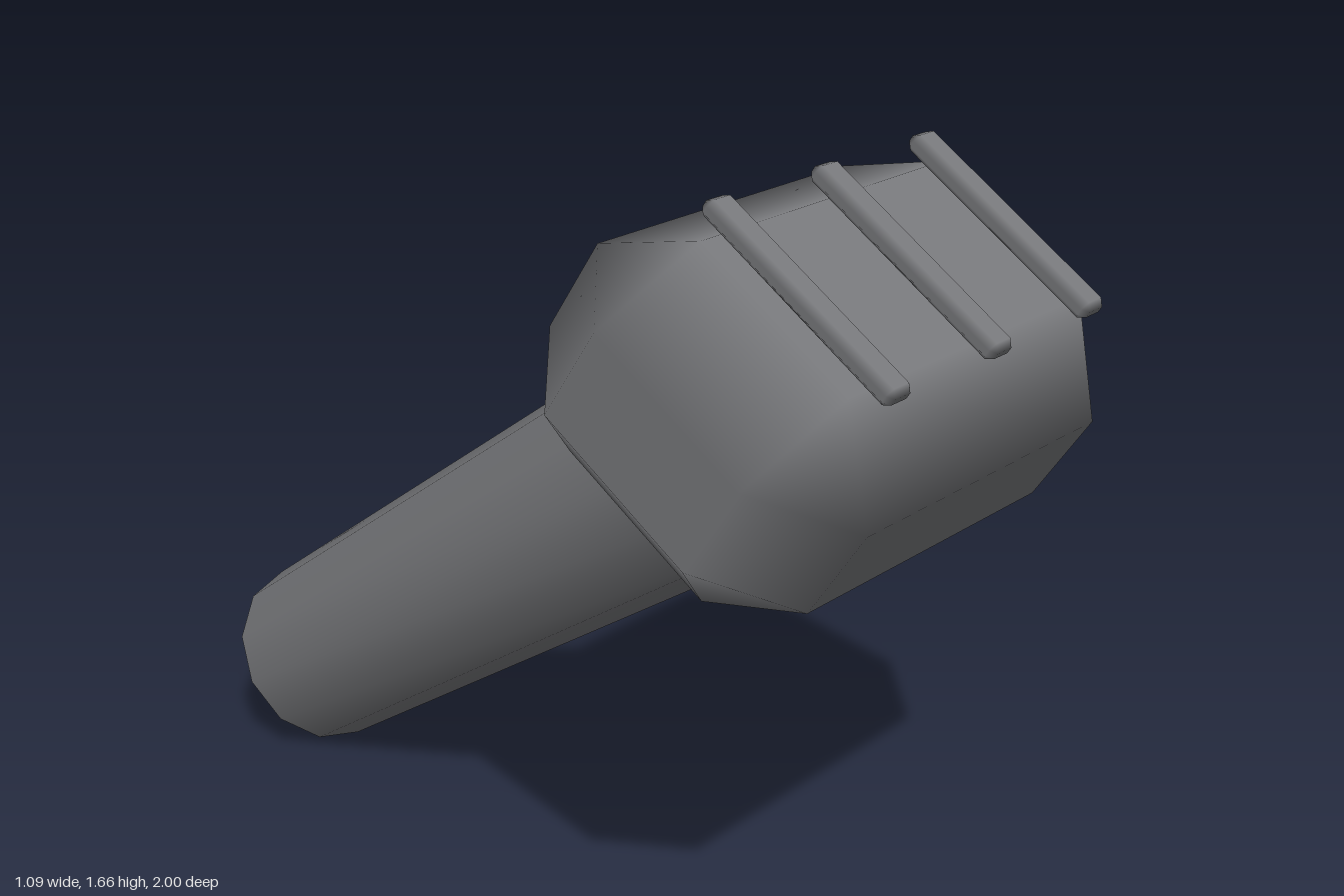
import * as THREE from 'three';
import { ConvexGeometry } from 'three/addons/geometries/ConvexGeometry.js';

// Box with single-step bevels whose flat faces keep straight normals,
// so the shading blends only across the bevels.
function bevelledBox(w, h, d, bevel) {
  const half = [w / 2, h / 2, d / 2];
  const points = [];
  for (const sx of [-1, 1]) for (const sy of [-1, 1]) for (const sz of [-1, 1]) {
    const sign = [sx, sy, sz];
    for (let axis = 0; axis < 3; axis++) {
      points.push(new THREE.Vector3(...sign.map((s, i) => s * (half[i] - (i === axis ? 0 : bevel)))));
    }
  }
  const geometry = new ConvexGeometry(points);
  const position = geometry.attributes.position;
  const normal = geometry.attributes.normal;
  for (let i = 0; i < position.count; i++) {
    const p = [position.getX(i), position.getY(i), position.getZ(i)];
    normal.setXYZ(i, ...p.map((v, k) => (Math.abs(v) > half[k] - bevel / 2 ? Math.sign(v) : 0)));
  }
  return geometry;
}

export function createModel() {
  const model = new THREE.Group();
  model.name = 'hammer';
  const steel = new THREE.MeshStandardMaterial({ color: 0x77787b });
  steel.name = 'grey steel';

  const add = (name, geometry, x, y, z, tilt) => {
    const mesh = new THREE.Mesh(geometry, steel);
    mesh.name = name;
    mesh.position.set(x, y, z);
    mesh.rotation.x = tilt;
    model.add(mesh);
  };
  const headTilt = THREE.MathUtils.degToRad(33);
  const handleTilt = THREE.MathUtils.degToRad(54.6);

  // Tapered twelve-sided handle, running up into the head
  const length = 1.65;
  const handle = new THREE.CylinderGeometry(0.253, 0.22, length, 12);
  handle.translate(0, length / 2, 0);
  add('handle', handle, 0, 0.185, -0.87, handleTilt);

  // Heavy bevelled head
  add('head', bevelledBox(1.09, 0.56, 0.73, 0.172), 0, 1.265, 0.62, headTilt);

  // Three bars floating just above the head
  for (const x of [-0.315, 0, 0.315]) {
    add('bar', bevelledBox(0.07, 0.04, 0.49, 0.013), x, 1.527, 0.793, headTilt);
  }
  return model;
}
